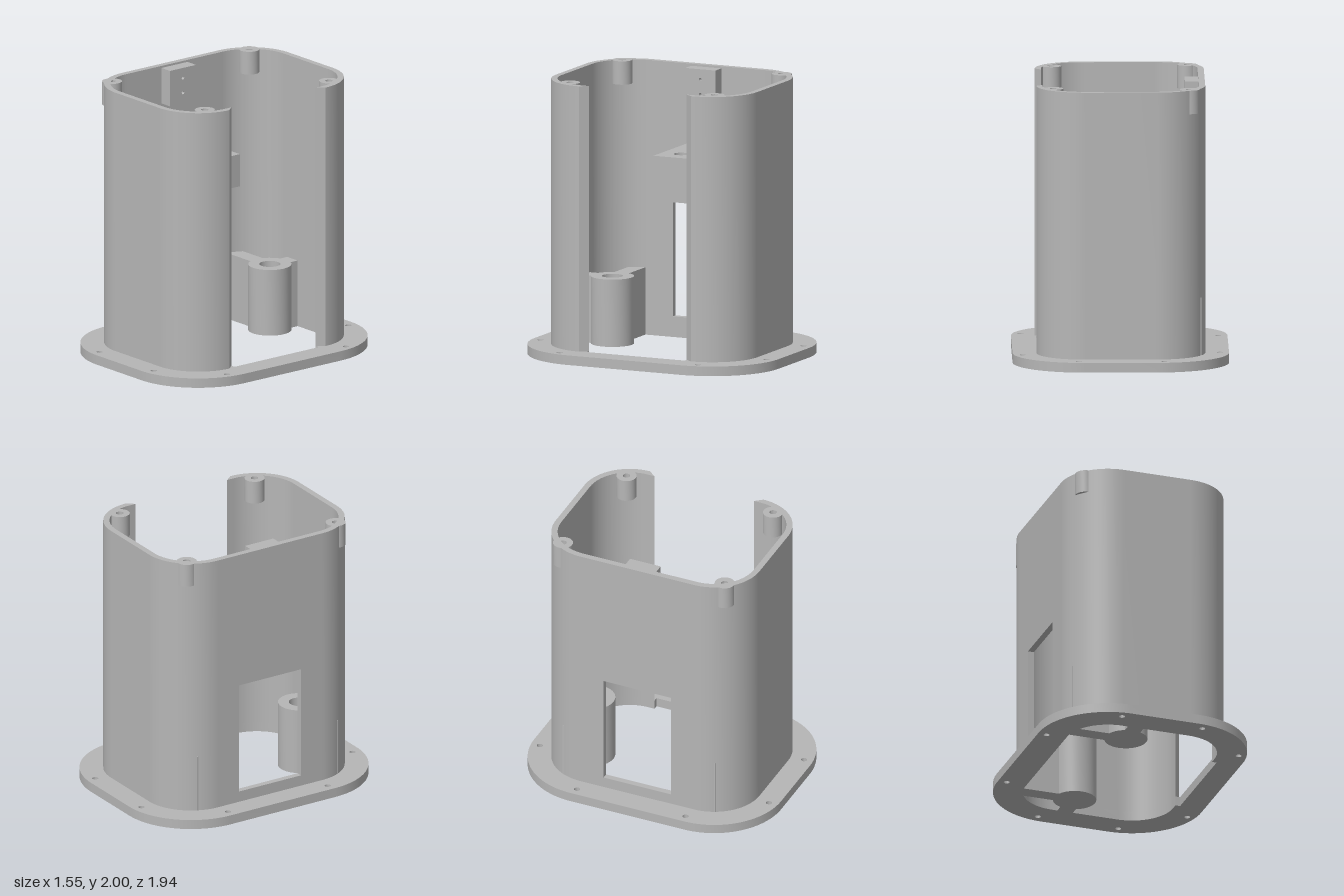
import * as THREE from 'three';
import { toCreasedNormals } from 'three/addons/utils/BufferGeometryUtils.js';

const CX = 0.25, CZ = 0.445;                    // corner arc centres, shared by all outlines
const R_PLATE = 0.525, R_OUT = 0.355, R_IN = 0.31;
const BASE = 0.07, TOP = 2, SLOT = 0.39;

export function createModel() {
  const group = new THREE.Group();
  const grey = new THREE.MeshStandardMaterial({ color: 0xb6b6b6 });
  grey.name = 'grey';

  const add = (name, geometry) => {
    const mesh = new THREE.Mesh(toCreasedNormals(geometry, 0.5), grey);
    mesh.name = name;
    group.add(mesh);
    return mesh;
  };
  const box = (name, x0, x1, y0, y1, z0, z1) => {
    const g = new THREE.BoxGeometry(x1 - x0, y1 - y0, z1 - z0);
    g.translate((x0 + x1) / 2, (y0 + y1) / 2, (z0 + z1) / 2);
    return add(name, g);
  };
  // Plan shape (x, -z) raised from y0 to y1
  const raise = (shape, y0, y1) => {
    const g = new THREE.ExtrudeGeometry(shape, { depth: y1 - y0, bevelEnabled: false, curveSegments: 24 });
    return g.rotateX(-Math.PI / 2).translate(0, y0, 0);
  };
  const hole = (x, y, r) => new THREE.Path().absarc(x, y, r, 0, Math.PI * 2);
  const rect = (x0, x1, y0, y1, Type = THREE.Shape) => new Type().setFromPoints(
    [[x0, y0], [x1, y0], [x1, y1], [x0, y1]].map(([x, y]) => new THREE.Vector2(x, y)));
  const corners = (path, r) => {
    [[1, 1], [-1, 1], [-1, -1], [1, -1]].forEach(([sx, sy], i) =>
      path.absarc(sx * CX, sy * CZ, r, i * Math.PI / 2, (i + 1) * Math.PI / 2));
    return path;
  };
  // Round post with a blind hole in its top
  const post = (name, x, z, r, h, y0, y1, depth) => {
    const pts = [[0, y0], [r, y0], [r, y1], [h, y1], [h, y1 - depth], [0, y1 - depth]];
    const g = new THREE.LatheGeometry(pts.map(([a, b]) => new THREE.Vector2(a, b)), 40);
    return add(name, g.translate(x, 0, z));
  };

  // Base flange with screw holes; the opening widens at the side slot
  const plate = corners(new THREE.Shape(), R_PLATE);
  const opening = new THREE.Path();
  opening.moveTo(0.595, -SLOT);
  opening.lineTo(0.595, SLOT);
  opening.lineTo(CX + R_IN, SLOT);
  corners(opening, R_IN);
  opening.lineTo(CX + R_IN, -SLOT);
  opening.closePath();
  plate.holes.push(opening);
  for (const s of [1, -1]) {
    for (const [x, y] of [[0.305, 0.9], [-0.305, 0.9], [-0.71, 0.425], [0.705, 0.55]]) {
      plate.holes.push(hole(x, s * y, 0.022));
    }
  }
  add('baseFlange', raise(plate, 0, BASE));

  // Wall panel with the window
  const panel = rect(-CZ, CZ, BASE, TOP);
  panel.holes.push(rect(-0.265, 0.265, 0.15, 0.98, THREE.Path));
  const panelGeo = new THREE.ExtrudeGeometry(panel, { depth: R_OUT - R_IN, bevelEnabled: false });
  add('windowWall', panelGeo.rotateY(Math.PI / 2).translate(-CX - R_OUT, 0, 0));

  for (const s of [1, -1]) {
    const end = s > 0 ? 'front' : 'back';

    // Curved half of the housing wall
    const half = new THREE.Shape();
    const a = -s * Math.PI / 2;
    half.moveTo(CX + R_OUT, -s * SLOT);
    half.absarc(CX, -s * CZ, R_OUT, 0, a, s > 0);
    half.absarc(-CX, -s * CZ, R_OUT, a, 2 * a, s > 0);
    half.absarc(-CX, -s * CZ, R_IN, 2 * a, a, s < 0);
    half.absarc(CX, -s * CZ, R_IN, a, 0, s < 0);
    half.lineTo(CX + R_IN, -s * SLOT);
    half.closePath();
    add(end + 'Wall', raise(half, BASE, TOP));

    // Lid screw bosses at the rim
    post(end + 'RightBoss', -0.49, s * 0.635, 0.072, 0.026, 1.83, TOP, 0.14);
    post(end + 'LeftBoss', 0.485, s * 0.575, 0.072, 0.026, 1.83, TOP, 0.14);

    // Floor post braced by two ribs
    post(end + 'Post', -0.15, s * 0.547, 0.155, 0.076, 0, 0.49, 0.35);
    box(end + 'SideRib', -0.574, -0.27, 0, 0.49, s * 0.542 - 0.058, s * 0.542 + 0.058);
    box(end + 'EndRib', -0.208, -0.09, 0, 0.49, s * 0.72 - 0.05, s * 0.72 + 0.05);
  }

  // Shelf above the window, blind hole from the top
  const shelf = rect(-0.57, 0, -0.147, 0.147);
  shelf.holes.push(hole(-0.15, 0, 0.053));
  add('shelfTop', raise(shelf, 1.22, 1.42));
  box('shelfBottom', -0.57, 0, 1.18, 1.22, -0.147, 0.147);

  // Small mounting block with two holes facing the slot
  const mount = rect(-0.12, 0.12, 1.72, 1.985);
  for (const y of [1.8, 1.91]) mount.holes.push(hole(0, y, 0.012));
  const mountGeo = new THREE.ExtrudeGeometry(mount, { depth: 0.1, bevelEnabled: false });
  add('mountBlock', mountGeo.rotateY(Math.PI / 2).translate(-0.563, 0, 0));

  return group;
}
